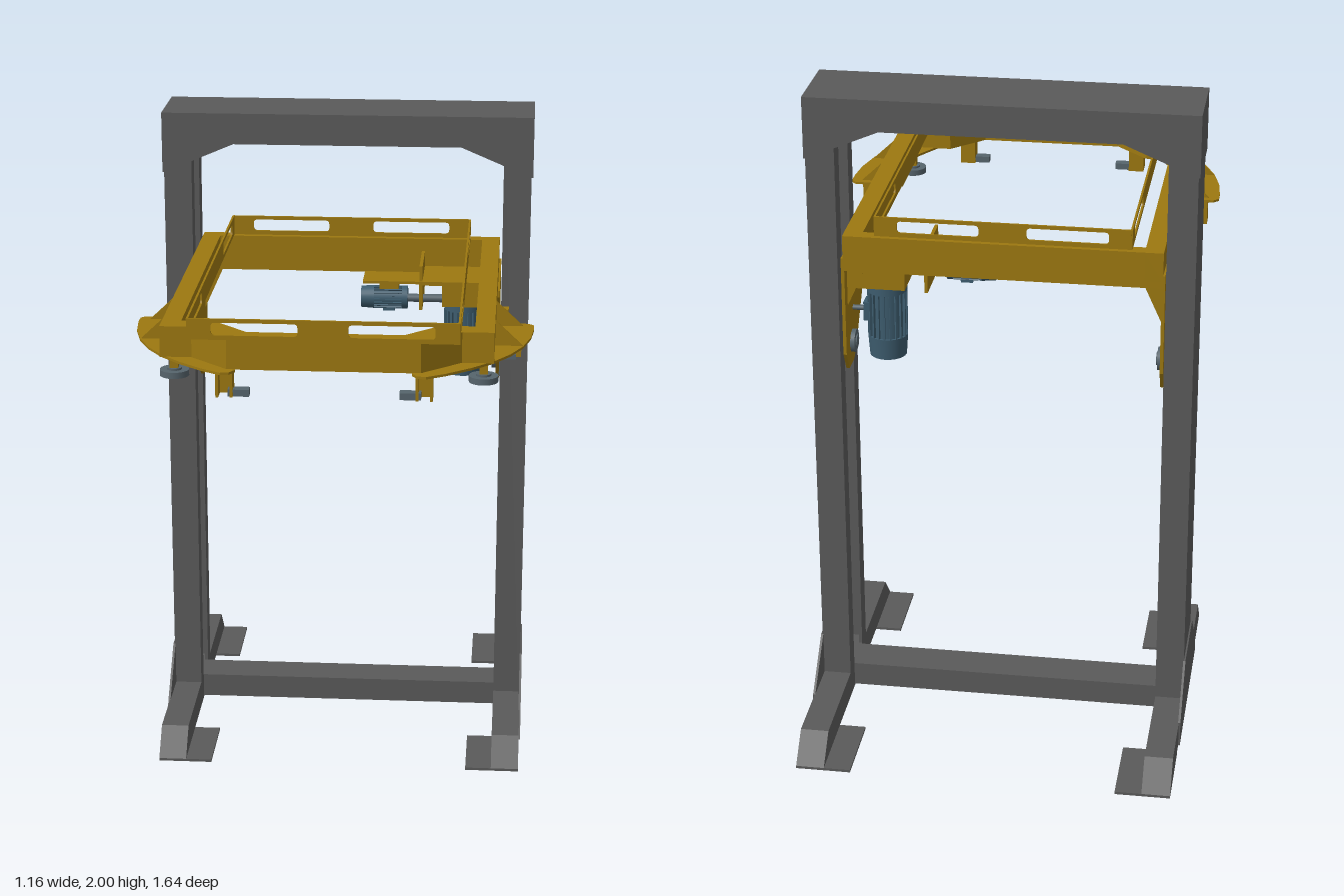
import * as THREE from 'three';

const mat = (name, color) => {
  const m = new THREE.MeshStandardMaterial({ color });
  m.name = name;
  return m;
};

export function createModel() {
  const root = new THREE.Group();
  const grey = mat('frame grey', 0x5a5a5a);
  const yellow = mat('carriage yellow', 0x9c7810);
  const blue = mat('motor blue', 0x3d5c6e);
  const steel = mat('pad steel', 0x56646c);

  const add = (name, geo, m, x = 0, y = 0, z = 0) => {
    const mesh = new THREE.Mesh(geo, m);
    mesh.name = name;
    mesh.position.set(x, y, z);
    root.add(mesh);
    return mesh;
  };
  // box given by its extents
  const box = (name, m, x0, x1, y0, y1, z0, z1) =>
    add(name, new THREE.BoxGeometry(Math.abs(x1 - x0), y1 - y0, z1 - z0), m, (x0 + x1) / 2, (y0 + y1) / 2, (z0 + z1) / 2);
  const shapeOf = pts => new THREE.Shape(pts.map(p => new THREE.Vector2(p[0], p[1])));
  const extrude = (shape, depth) => new THREE.ExtrudeGeometry(shape, { depth, bevelEnabled: false, curveSegments: 6 });
  // outline in (x, y), pushed along z
  const alongZ = (name, m, pts, z0, z1) => add(name, extrude(shapeOf(pts), z1 - z0), m, 0, 0, z0);
  // outline in (x, z), pushed along y
  const alongY = (name, m, pts, y0, y1) =>
    add(name, extrude(shapeOf(pts.map(([x, z]) => [x, -z])), y1 - y0).rotateX(-Math.PI / 2), m, 0, y0, 0);
  // outline in (z, y), pushed along x
  const alongX = (name, m, pts, a, b) =>
    add(name, extrude(shapeOf(pts.map(([z, y]) => [-z, y])), Math.abs(b - a)).rotateY(Math.PI / 2), m, Math.min(a, b), 0, 0);
  const cyl = (name, m, r, h, x, y, z, axis = 'y', n = 20) => {
    const g = new THREE.CylinderGeometry(r, r, h, n);
    if (axis === 'x') g.rotateZ(Math.PI / 2);
    return add(name, g, m, x, y, z);
  };
  const flip = (s, pts) => pts.map(([a, b]) => [s * a, b]);

  // rail plate with rounded slots, centred on its length
  const slottedPlate = (len, slots) => {
    const sh = shapeOf([[-len / 2, 1.57], [len / 2, 1.57], [len / 2, 1.63], [-len / 2, 1.63]]);
    for (const [a, b] of slots) {
      const h = new THREE.Path(), r = 0.012;
      h.moveTo(a + r, 1.583);
      h.lineTo(b - r, 1.583);
      h.quadraticCurveTo(b, 1.583, b, 1.583 + r);
      h.lineTo(b, 1.619 - r);
      h.quadraticCurveTo(b, 1.619, b - r, 1.619);
      h.lineTo(a + r, 1.619);
      h.quadraticCurveTo(a, 1.619, a, 1.619 - r);
      h.lineTo(a, 1.583 + r);
      h.quadraticCurveTo(a, 1.583, a + r, 1.583);
      sh.holes.push(h);
    }
    return extrude(sh, 0.006);
  };

  const ZB = -0.41, ZF = -0.165;

  // ---- Portal frame ----
  for (const s of [1, -1]) {
    // inward-opening channel column with lips and a guide bar
    alongY('column', grey, flip(s, [[0.565, ZB], [0.565, ZF], [0.48, ZF], [0.48, ZF - 0.06], [0.49, ZF - 0.06],
      [0.49, ZF - 0.012], [0.553, ZF - 0.012], [0.553, ZB + 0.012], [0.49, ZB + 0.012], [0.49, ZB + 0.06],
      [0.48, ZB + 0.06], [0.48, ZB]]), 0.02, 1.99);
    box('guideBar', grey, s * 0.515, s * 0.553, 0.1, 1.88, -0.31, -0.265);
    // foot with sloping ends, inner pads and side gusset
    alongX('foot', grey, [[0.245, 0.02], [0.17, 0.1], [-0.745, 0.1], [-0.825, 0.02]], s * 0.48, s * 0.565);
    alongX('footGusset', grey, [[-0.02, 0.1], [0.03, 0.02], [-0.55, 0.02], [-0.55, 0.1], [ZB, 0.235], [ZF, 0.235]], s * 0.563, s * 0.57);
    box('frontFootPad', grey, s * 0.4, s * 0.565, 0.012, 0.02, 0.01, 0.245);
    box('rearFootPad', grey, s * 0.4, s * 0.565, 0.012, 0.02, -0.825, -0.585);
    box('topEndPlate', grey, s * 0.563, s * 0.57, 1.815, 2, ZB, ZF);
    cyl('levelStud', grey, 0.005, 0.025, s * 0.52, 0.0125, -0.27, 'y', 8);
  }
  // top beam, hollow underneath
  const beam = [[-0.57, 2], [-0.57, 1.815], [-0.48, 1.815], [-0.48, 1.85], [-0.35, 1.905], [0.35, 1.905],
    [0.48, 1.85], [0.48, 1.815], [0.57, 1.815], [0.57, 2]];
  alongZ('topBeamFront', grey, beam, ZF - 0.01, ZF + 0.001);
  alongZ('topBeamBack', grey, beam, ZB - 0.001, ZB + 0.01);
  box('topBeamCover', grey, -0.57, 0.57, 1.988, 2, ZB, ZF);
  for (const x of [-0.35, -0.12, 0.12, 0.35]) box('topBeamRib', grey, x - 0.005, x + 0.005, 1.91, 1.99, ZB + 0.01, ZF - 0.01);
  box('bottomCrossbar', grey, -0.485, 0.485, 0.025, 0.1, -0.35, -0.23);

  // ---- Carriage ----
  const right = [[0.47, -0.385], [0.47, 0.68], [0.38, 0.68], [0.27, 0.785]];
  const inner = [[0.22, 0.72], [0.32, 0.62], [0.415, 0.62], [0.415, -0.385]];
  const mirror = pts => flip(-1, pts).reverse();
  alongY('carriageFrame', yellow, [...right, ...mirror(right), ...mirror(inner), ...inner].filter((p, i, a) =>
    !i || p[0] !== a[i - 1][0] || p[1] !== a[i - 1][1]), 1.48, 1.57);
  box('backBeam', yellow, -0.47, 0.47, 1.46, 1.57, -0.385, -0.345);

  // slotted upper rails
  const railSlots = [[-0.31, -0.07], [0.07, 0.31]];
  add('frontRail', slottedPlate(0.75, railSlots), yellow, 0, 0, 0.796);
  add('backRail', slottedPlate(0.75, railSlots), yellow, 0, 0, -0.37);
  for (const s of [1, -1]) {
    const rail = add('sideRail', slottedPlate(1.17, [[-0.52, -0.27], [0.27, 0.52]]), yellow, s * 0.375 - 0.003, 0, 0.216);
    rail.rotation.y = Math.PI / 2;
  }

  for (const s of [1, -1]) {
    // curved wing plate under the front corner
    alongY('wingPlate', yellow, flip(s, [[0.415, 0.28], [0.565, 0.28], [0.58, 0.295], [0.58, 0.34], [0.572, 0.42],
      [0.55, 0.51], [0.515, 0.59], [0.47, 0.66], [0.41, 0.725], [0.34, 0.785], [0.285, 0.82], [0.26, 0.815],
      [0.245, 0.79], [0.27, 0.74], [0.36, 0.64], [0.415, 0.55]]), 1.474, 1.481);
    for (const z of [0.3, 0.5]) alongZ('wingWeb', yellow, flip(s, [[0.465, 1.48], [0.55, 1.48], [0.465, 1.56]]), z, z + 0.006);
    // side plate running down inside the column
    alongX('hangerPlate', yellow, [[0, 1.48], [-0.25, 1.15], [-0.28, 1.13], [-0.35, 1.13], [-0.385, 1.19], [-0.385, 1.5], [0, 1.5]],
      s * 0.466, s * 0.476);
    alongZ('hangerBrace', yellow, flip(s, [[0.468, 1.33], [0.468, 1.48], [0.4, 1.48]]), -0.35, -0.342);
    cyl('hubWheel', steel, 0.035, 0.014, s * 0.46, 1.2, -0.3, 'x');
    cyl('hubBolt', steel, 0.02, 0.03, s * 0.464, 1.2, -0.3, 'x', 6);
    box('guideShoe', steel, s * 0.474, s * 0.515, 1.15, 1.25, -0.32, -0.255);

    // support pads
    for (const [x, z] of [[0.485, 0.115], [0.44, 0.6]]) {
      cyl('supportPad', steel, 0.042, 0.018, s * x, 1.412, z);
      cyl('padCollar', steel, 0.022, 0.03, s * x, 1.412, z);
      box('padStem', yellow, s * (x - 0.012), s * (x + 0.012), 1.425, 1.48, z - 0.012, z + 0.012);
      box('padBracket', yellow, s * (x - 0.025), s * (x + 0.02), 1.47, 1.48, z - 0.02, z + 0.02);
    }
    // front hook brackets
    for (const x of [0.255, 0.295]) box('hookBracket', yellow, s * x, s * (x + 0.008), 1.395, 1.48, 0.725, 0.775);
    box('hookBack', yellow, s * 0.255, s * 0.303, 1.395, 1.48, 0.725, 0.731);
    box('hookClip', steel, s * 0.21, s * 0.27, 1.395, 1.415, 0.735, 0.765);
    // side hook brackets
    box('sideBracket', yellow, s * 0.5, s * 0.545, 1.395, 1.48, 0.295, 0.335);
    box('sideClip', steel, s * 0.475, s * 0.53, 1.4, 1.415, 0.325, 0.375);
  }

  // ---- Drive ----
  box('gearboxPlate', yellow, 0.23, 0.468, 1.47, 1.482, -0.35, -0.155);
  box('gearbox', yellow, 0.295, 0.45, 1.39, 1.47, -0.345, -0.2);
  box('driveBracket', yellow, 0.225, 0.235, 1.39, 1.53, -0.35, -0.16);
  box('smallMotorShelf', yellow, 0.05, 0.235, 1.474, 1.482, -0.27, -0.155);
  box('smallMotorFoot', yellow, 0.1, 0.16, 1.45, 1.476, -0.24, -0.18);

  // ribbed motor lying along y, optionally turned along x
  const motor = (name, r, len, x, y, z, turn) => {
    const g = new THREE.Group();
    g.name = name;
    const part = (geo, px, py, pz) => {
      const m = new THREE.Mesh(geo, blue);
      m.position.set(px, py, pz);
      g.add(m);
      return m;
    };
    part(new THREE.CylinderGeometry(r * 0.88, r * 0.88, len, 24), 0, 0, 0);
    part(new THREE.CylinderGeometry(r, r, len * 0.12, 24), 0, len * 0.44, 0);
    part(new THREE.CylinderGeometry(r, r * 0.92, len * 0.28, 24), 0, -len * 0.36, 0);
    for (let i = 0; i < 20; i++) {
      const a = i * Math.PI / 10;
      part(new THREE.BoxGeometry(r * 0.2, len * 0.6, r * 0.08), Math.cos(a) * r * 0.9, len * 0.08, Math.sin(a) * r * 0.9).rotation.y = -a;
    }
    part(new THREE.BoxGeometry(r * 0.5, len * 0.25, r * 0.8), r * 0.9, len * 0.1, 0);
    g.position.set(x, y, z);
    if (turn) g.rotation.z = -Math.PI / 2;
    root.add(g);
  };
  motor('liftMotor', 0.06, 0.235, 0.36, 1.275, -0.28, false);
  motor('smallMotor', 0.036, 0.145, 0.115, 1.417, -0.21, true);
  cyl('driveShaft', steel, 0.013, 0.11, 0.24, 1.415, -0.21, 'x', 12);
  cyl('motorStub', steel, 0.008, 0.05, 0.44, 1.3, -0.28, 'x', 10);

  return root;
}
